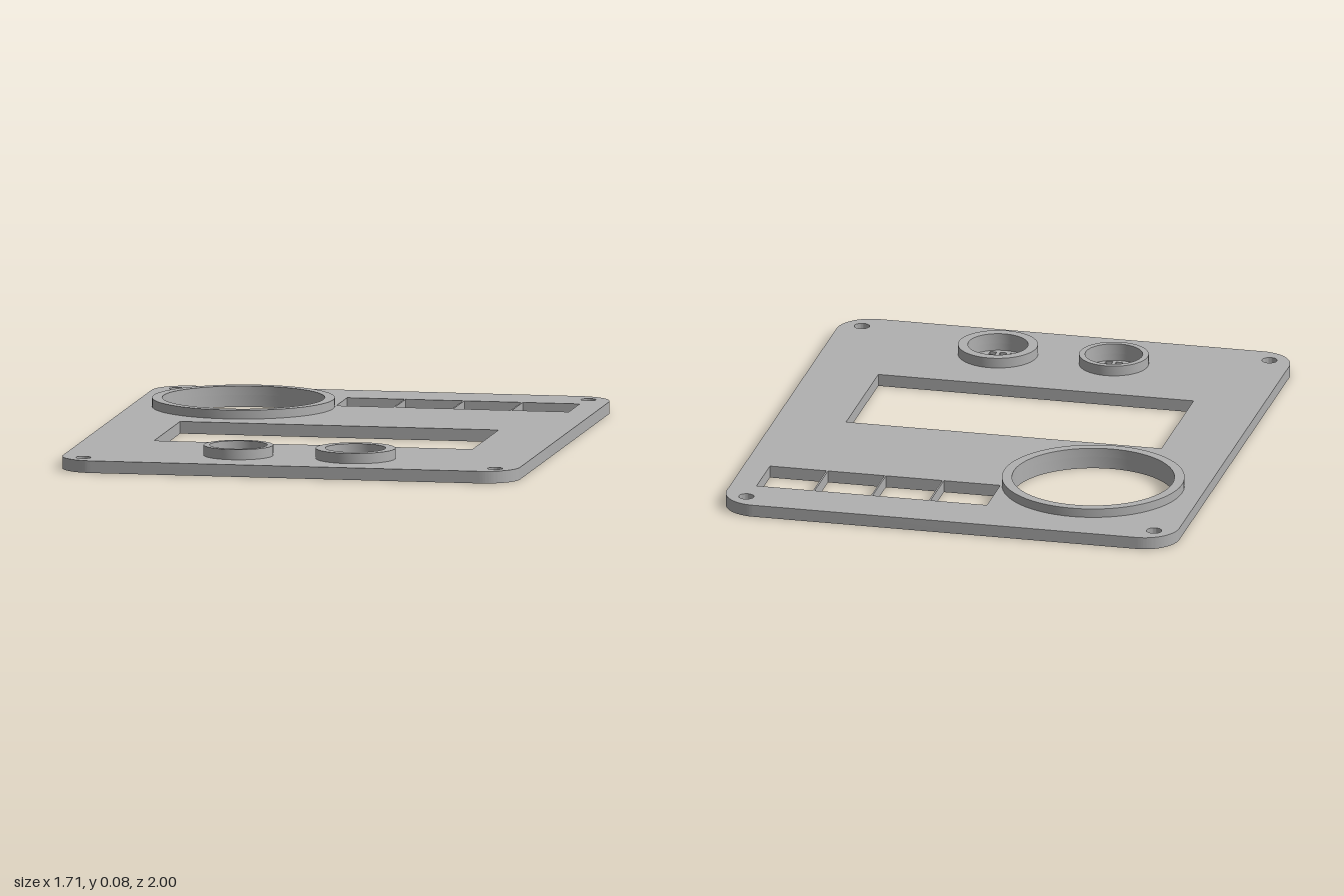
import * as THREE from 'three';
import { toCreasedNormals } from 'three/addons/utils/BufferGeometryUtils.js';

const THICKNESS = 0.045;

// Outlines are drawn on the plan: shape y is -z
function circle(Type, x, z, r) {
  const p = new Type();
  p.absarc(x, -z, r, 0, Math.PI * 2, false);
  return p;
}

function rect(x0, x1, z0, z1) {
  const p = new THREE.Path();
  p.moveTo(x0, -z0).lineTo(x1, -z0).lineTo(x1, -z1).lineTo(x0, -z1).closePath();
  return p;
}

function roundedPlate(w, d, r) {
  const s = new THREE.Shape();
  s.absarc(w - r, d - r, r, 0, Math.PI / 2, false);
  s.absarc(r - w, d - r, r, Math.PI / 2, Math.PI, false);
  s.absarc(r - w, r - d, r, Math.PI, Math.PI * 1.5, false);
  s.absarc(w - r, r - d, r, Math.PI * 1.5, Math.PI * 2, false);
  s.closePath();
  return s;
}

export function createModel() {
  const model = new THREE.Group();
  model.name = 'controlPanel';
  const grey = new THREE.MeshStandardMaterial({ color: 0xb0b0b0 });
  grey.name = 'grey';

  // Extrude a plan outline upwards between two heights
  function slab(name, shape, y0, y1) {
    const flat = new THREE.ExtrudeGeometry(shape, { depth: y1 - y0, bevelEnabled: false, curveSegments: 32 });
    flat.rotateX(-Math.PI / 2).translate(0, y0, 0);
    const mesh = new THREE.Mesh(toCreasedNormals(flat, 0.6), grey);
    mesh.name = name;
    model.add(mesh);
  }

  function ring(name, x, z, outer, inner, top) {
    const s = circle(THREE.Shape, x, z, outer);
    s.holes.push(circle(THREE.Path, x, z, inner));
    slab(name, s, THICKNESS, top);
  }

  const dial = { x: -0.443, z: -0.507, outer: 0.336, inner: 0.299 };
  const sensors = [
    { name: 'rightSensor', x: -0.222, z: 0.747, outer: 0.128, inner: 0.106 },
    { name: 'leftSensor', x: 0.216, z: 0.747, outer: 0.147, inner: 0.111 },
  ];

  // Base plate with every opening cut through
  const plate = roundedPlate(0.855, 1, 0.13);
  for (const x of [-0.77, 0.77])
    for (const z of [-0.915, 0.915]) plate.holes.push(circle(THREE.Path, x, z, 0.028));
  plate.holes.push(rect(-0.597, 0.594, -0.074, 0.437));
  for (let i = 0; i < 4; i++) {
    const x = -0.111 + i * 0.219;
    plate.holes.push(rect(x, x + 0.213, -0.799, -0.587));
  }
  for (const c of [dial, ...sensors]) plate.holes.push(circle(THREE.Path, c.x, c.z, c.inner));
  slab('basePlate', plate, 0, THICKNESS);

  // Raised rim around the large round opening
  ring('dialRim', dial.x, dial.z, dial.outer, dial.inner, 0.078);

  // Raised rims with perforated grilles at the bottom
  for (const s of sensors) {
    ring(s.name + 'Rim', s.x, s.z, s.outer, s.inner, 0.083);
    const grille = circle(THREE.Shape, s.x, s.z, s.inner);
    const pitch = 0.038, h = 0.0125;
    for (let i = -2; i <= 2; i++)
      for (let j = -2; j <= 2; j++) {
        if (Math.abs(i * j) === 4) continue;
        const x = s.x + i * pitch, z = s.z + j * pitch;
        grille.holes.push(rect(x - h, x + h, z - h, z + h));
      }
    slab(s.name + 'Grille', grille, 0.002, 0.018);
  }

  return model;
}
